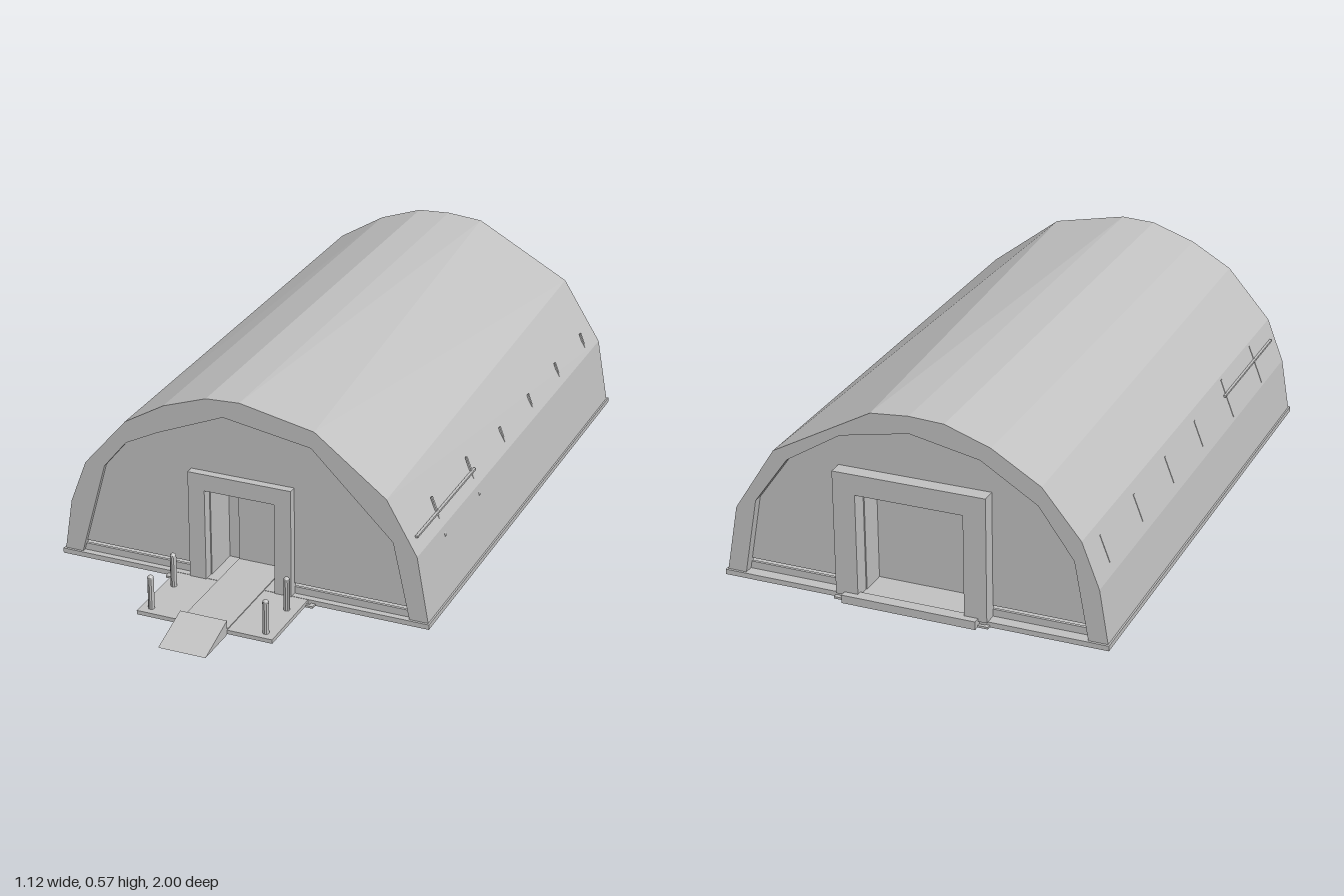
import * as THREE from 'three';

const grey = new THREE.MeshStandardMaterial({ color: 0xc2c2c2, flatShading: true, side: THREE.DoubleSide });
grey.name = 'light grey';

// Arch outlines (x, y) from -x to +x; the front and back differ a little, which twists the roof facets
const FRONT = [[-.555, .015], [-.53, .17], [-.48, .3], [-.35, .45], [-.23, .52], [-.1, .565], [0, .57],
  [.22, .525], [.22, .525], [.43, .365], [.52, .21], [.555, .015]];
const BACK = [[-.555, .015], [-.53, .17], [-.48, .3], [-.37, .435], [-.23, .52], [-.1, .565], [0, .57],
  [.11, .56], [.4, .4], [.4, .4], [.52, .21], [.555, .015]];
const FRONT_INNER = [[-.5, .015], [-.42, .3], [-.35, .385], [-.25, .435], [-.05, .518], [.21, .475], [.45, .24], [.5, .015]];
const BACK_INNER = [[-.5, .015], [-.46, .24], [-.36, .38], [-.2, .48], [0, .52], [.2, .48], [.36, .38], [.46, .24], [.5, .015]];
const Z_FRONT = .62, Z_BACK = -.965;

const shapeOf = pts => new THREE.Shape(pts.map(p => new THREE.Vector2(...p)));

export function createModel() {
  const model = new THREE.Group();

  const add = (name, geometry, x = 0, y = 0, z = 0) => {
    const mesh = new THREE.Mesh(geometry, grey);
    mesh.name = name;
    mesh.position.set(x, y, z);
    model.add(mesh);
    return mesh;
  };
  // Box given by its limits
  const block = (name, x0, x1, y0, y1, z0, z1) =>
    add(name, new THREE.BoxGeometry(x1 - x0, y1 - y0, z1 - z0), (x0 + x1) / 2, (y0 + y1) / 2, (z0 + z1) / 2);
  const slab = (name, shape, depth, z) =>
    add(name, new THREE.ExtrudeGeometry(shape, { depth, bevelEnabled: false }), 0, 0, z);

  // Roof shell lofted between the two outlines
  const pos = [];
  for (let i = 0; i < FRONT.length - 1; i++) {
    const a = [...FRONT[i], Z_FRONT], b = [...FRONT[i + 1], Z_FRONT];
    const c = [...BACK[i], Z_BACK], d = [...BACK[i + 1], Z_BACK];
    pos.push(...a, ...b, ...d, ...a, ...d, ...c);
  }
  const shell = new THREE.BufferGeometry();
  shell.setAttribute('position', new THREE.Float32BufferAttribute(pos, 3));
  shell.computeVertexNormals();
  add('roofShell', shell);

  // Arched rims at both ends: outer outline, then back along the inner one
  slab('frontRim', shapeOf([...FRONT, ...[...FRONT_INNER].reverse()]), .02, Z_FRONT - .02);
  slab('backRim', shapeOf([...BACK, ...[...BACK_INNER].reverse()]), .035, Z_BACK);

  // End walls: a low sill, an open slit, then the arched wall around a doorway
  const endWall = (name, inner, half, top, z) => {
    const n = inner.length - 1;
    const arch = [[-.5, .047], ...inner.slice(1, n), [.5, .047]];
    const notch = [[half, .047], [half, top], [-half, top], [-half, .047]];
    slab(name + 'Wall', shapeOf([...arch, ...notch]), .008, z);
    for (const s of [-1, 1])
      block(name + 'Sill', Math.min(s * half, s * .53), Math.max(s * half, s * .53), .015, .036, z, z + .008);
  };
  endWall('front', FRONT_INNER, .105, .29, .6);
  endWall('back', BACK_INNER, .155, .32, -.938);

  // Door frames standing proud of the walls
  const doorFrame = (name, outer, top, inner, innerTop, z0, z1) => {
    slab(name, shapeOf([[-outer, .015], [-outer, top], [outer, top], [outer, .015],
      [inner, .015], [inner, innerTop], [-inner, innerTop], [-inner, .015]]), z1 - z0, z0);
  };
  doorFrame('frontDoorFrame', .155, .34, .105, .29, .6, .632);
  doorFrame('backDoorFrame', .22, .38, .155, .32, -.98, -.93);

  // Recessed doorways behind the frames
  const recess = (name, half, top, z0, z1, panelZ) => {
    for (const s of [-1, 1]) block(name + 'Jamb', s * half - .003, s * half + .003, .015, top, z0, z1);
    block(name + 'Ceiling', -half, half, top - .003, top + .003, z0, z1);
    block(name + 'Door', -half, half, .015, top, panelZ - .003, panelZ + .003);
  };
  recess('frontEntry', .105, .29, .48, .6, .48);
  recess('backEntry', .155, .32, -.93, -.85, -.85);
  block('frontDoorLeaf', -.07, .07, .015, .285, .483, .488);

  // Floor with a raised rim under its edge
  block('floor', -.56, .56, .006, .014, -.97, .627);
  for (const s of [-1, 1])
    block('floorSideRim', s * .553 - .007, s * .553 + .007, 0, .015, -.972, .627);
  block('floorFrontRim', -.56, .56, 0, .015, .613, .627);
  block('floorBackRim', -.56, .56, 0, .015, -.972, -.958);

  // Entrance platform, walkway and wedge ramp
  block('platform', -.203, .203, .002, .014, .62, .865);
  block('walkway', -.07, .07, .012, .017, .49, .87);
  const wedge = new THREE.Shape([[-1, 0], [-.865, 0], [-.865, .043]].map(p => new THREE.Vector2(...p)));
  const ramp = add('ramp', new THREE.ExtrudeGeometry(wedge, { depth: .14, bevelEnabled: false }), -.07, 0, 0);
  ramp.rotation.y = Math.PI / 2;

  // Bollards with domed tops
  for (const x of [-.172, .172]) for (const z of [.7, .837]) {
    add('bollard', new THREE.CylinderGeometry(.009, .009, .095, 10), x, .06, z);
    add('bollardCap', new THREE.SphereGeometry(.009, 10, 4, 0, Math.PI * 2, 0, Math.PI / 2), x, .1075, z);
  }

  // Back step
  block('backStep', -.195, .195, 0, .024, -1, -.965);

  // Bracket loops under the platform joint and the back step
  const loop = shapeOf([[-.045, -.025], [.045, -.025], [.045, .025], [-.045, .025]]);
  loop.holes.push(new THREE.Path([[-.033, -.015], [-.033, .015], [.033, .015], [.033, -.015]].map(p => new THREE.Vector2(...p))));
  for (const x of [-.18, .18]) for (const z of [.62, -.96]) {
    const bracket = add('underBracket', new THREE.ExtrudeGeometry(loop, { depth: .006, bevelEnabled: false }), x, .006, z);
    bracket.rotation.x = Math.PI / 2;
  }

  // Slim ribs just breaking through the lower side walls
  const tilt = Math.atan2(.05, .13);
  for (const s of [-1, 1]) {
    [.42, .15, -.11, -.36, -.61, -.86].forEach((z, i) => {
      const rib = add('sideRib', new THREE.BoxGeometry(.005, i < 2 ? .12 : .08, .008), s * .504, .235, z);
      rib.rotation.z = s * tilt;
    });
    block('sideRail', s * .502 - .004, s * .502 + .004, .246, .252, .13, .58);
  }
  return model;
}
